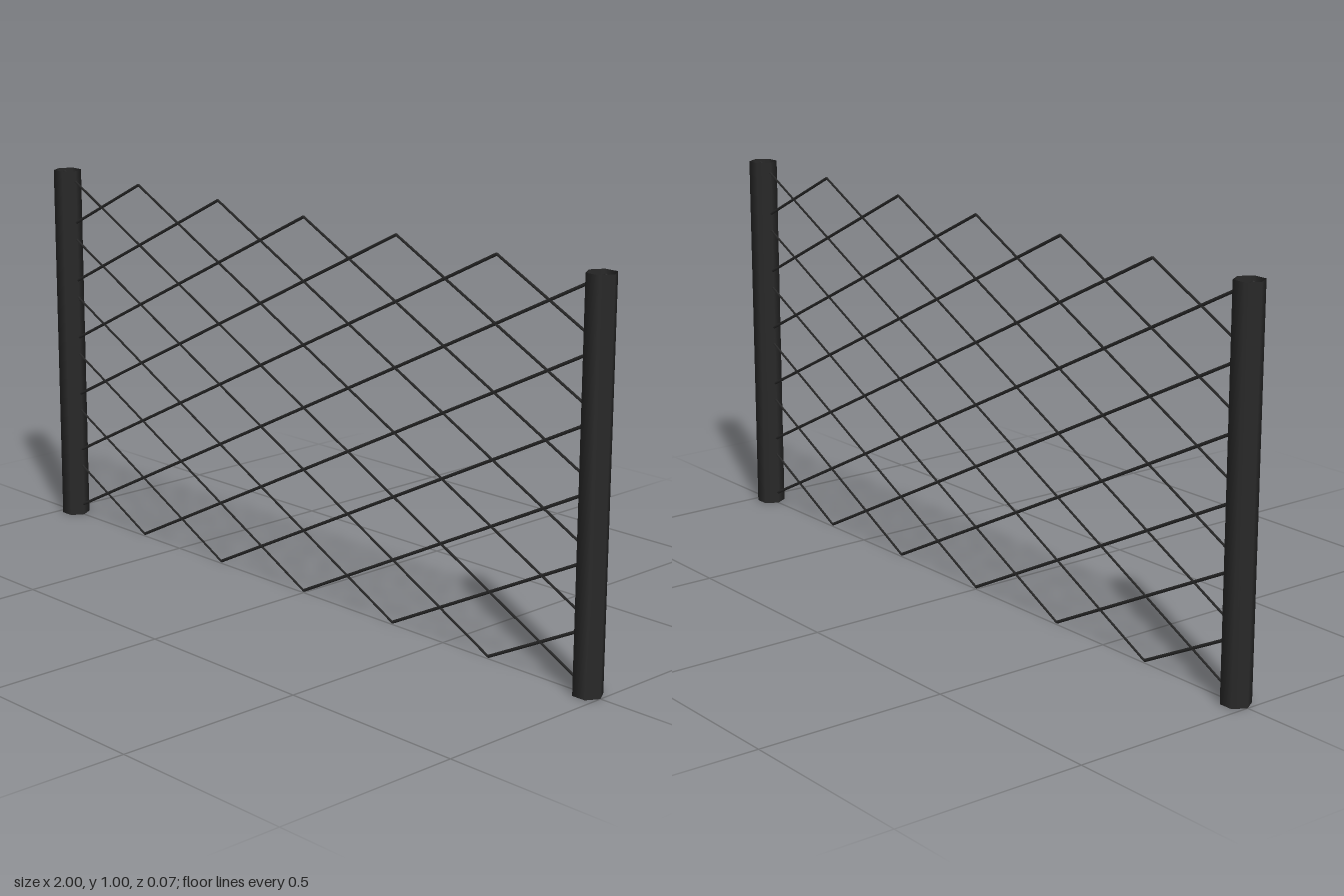
import * as THREE from 'three';

export function createModel() {
  const group = new THREE.Group();
  const dark = new THREE.MeshStandardMaterial({ color: 0x2a2a2a, side: THREE.DoubleSide });

  // Hollow six-sided posts, a corner facing sideways
  const height = 0.995;
  const postGeometry = new THREE.CylinderGeometry(0.038, 0.038, height, 6, 1, true, Math.PI / 2);
  for (const side of [-1, 1]) {
    const post = new THREE.Mesh(postGeometry, dark);
    post.name = side > 0 ? 'leftPost' : 'rightPost';
    post.position.set(side * 0.962, height / 2, 0);
    group.add(post);
  }

  // Diamond net: straight wires in both diagonal directions over a 6 x 6 lattice
  const net = new THREE.Group();
  net.name = 'wireNet';
  group.add(net);
  const cells = 6, stepX = 0.325, stepY = 0.164, bottom = 0.006;
  const up = new THREE.Vector3(0, 1, 0);

  function addWire(a, b) {
    const dir = b.clone().sub(a);
    const geometry = new THREE.CylinderGeometry(0.004, 0.004, dir.length(), 4, 1);
    const wire = new THREE.Mesh(geometry, dark);
    wire.name = 'wire';
    wire.position.copy(a).add(b).multiplyScalar(0.5);
    wire.quaternion.setFromUnitVectors(up, dir.normalize());
    net.add(wire);
  }

  for (let k = 1 - cells; k < cells; k++) {
    const start = Math.max(0, -k), end = Math.min(cells, cells - k);
    for (const mirror of [-1, 1]) {
      const point = (i) => new THREE.Vector3(mirror * (i - cells / 2) * stepX, bottom + (i + k) * stepY, 0);
      addWire(point(start), point(end));
    }
  }
  return group;
}
